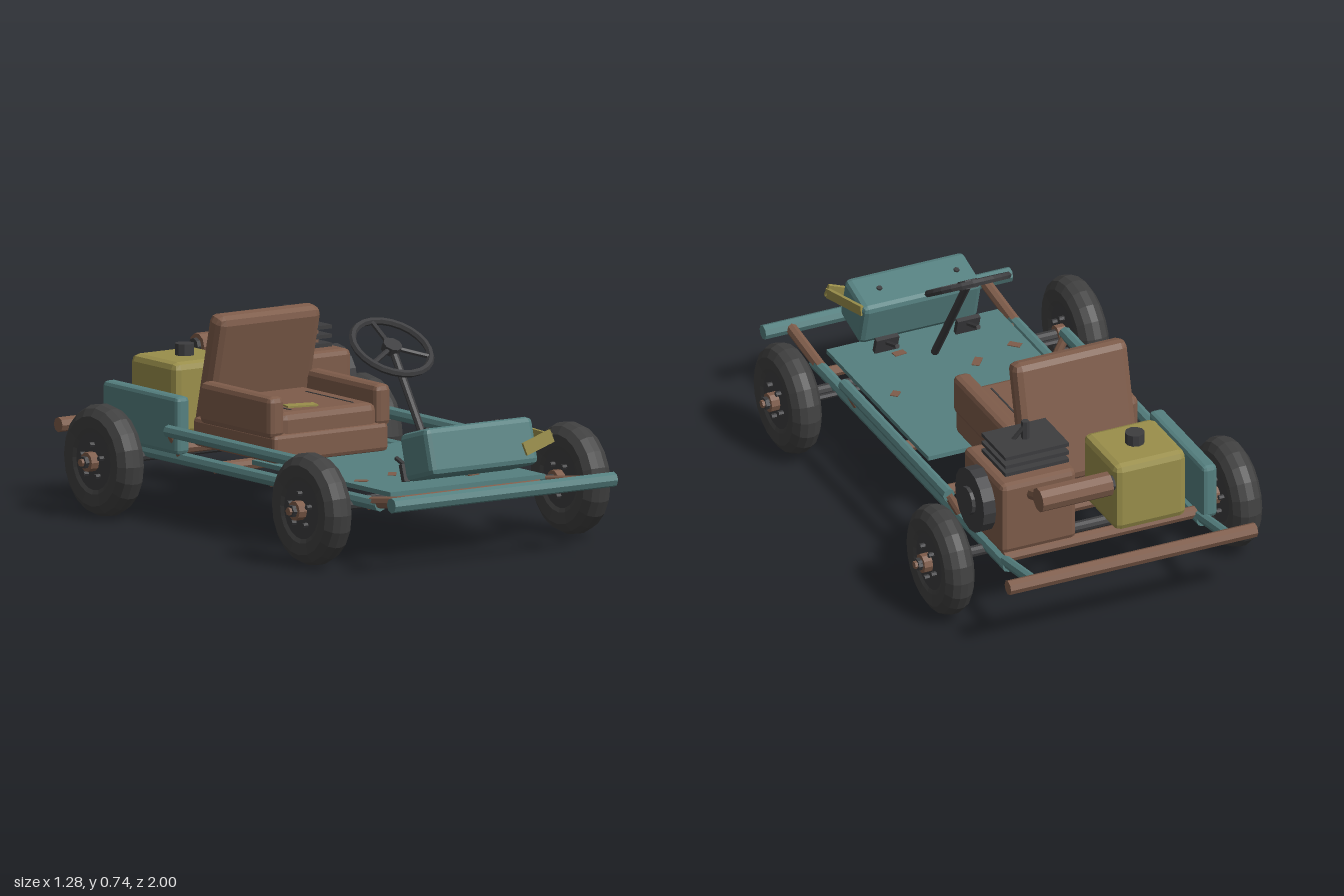
import * as THREE from 'three';
import { RoundedBoxGeometry } from 'three/addons/geometries/RoundedBoxGeometry.js';

const material = (name, color) => {
  const m = new THREE.MeshStandardMaterial({ color, flatShading: true });
  m.name = name;
  return m;
};

export function createModel() {
  const teal = material('teal paint', 0x558080);
  const rust = material('rust brown', 0x7e5c4a);
  const yellow = material('faded yellow', 0x9a8f4b);
  const dark = material('dark metal', 0x3d3d3f);
  const rubber = material('rubber', 0x404040);
  const kart = new THREE.Group();
  kart.name = 'goKart';

  const add = (name, geometry, mat, pos = [0, 0, 0], rot = [0, 0, 0], parent = kart) => {
    const mesh = new THREE.Mesh(geometry, mat);
    mesh.name = name;
    mesh.position.set(...pos);
    mesh.rotation.set(...rot);
    parent.add(mesh);
    return mesh;
  };
  const box = (name, size, mat, pos, rot, parent) => add(name, new THREE.BoxGeometry(...size), mat, pos, rot, parent);
  // box with chamfered edges
  const chamfered = (name, size, bevel, mat, pos, rot, parent) =>
    add(name, new RoundedBoxGeometry(...size, 1, bevel), mat, pos, rot, parent);
  // straight round bar between two points
  const bar = (name, a, b, radius, mat, sides = 8, parent = kart) => {
    const from = new THREE.Vector3(...a), to = new THREE.Vector3(...b);
    const dir = to.clone().sub(from);
    const mesh = add(name, new THREE.CylinderGeometry(radius, radius, dir.length(), sides), mat, [0, 0, 0], [0, 0, 0], parent);
    mesh.position.copy(from).add(to).multiplyScalar(0.5);
    mesh.quaternion.setFromUnitVectors(new THREE.Vector3(0, 1, 0), dir.normalize());
    return mesh;
  };

  // Frame rails, raised side bars and their posts
  for (const s of [-1, 1]) {
    const x = s * 0.365;
    bar('mainRail', [x, 0.212, -0.77], [x, 0.212, 0.77], 0.023, teal);
    bar('frontStub', [x, 0.214, 0.72], [x, 0.247, 0.97], 0.021, rust);
    bar('rearStub', [x, 0.218, -0.74], [x, 0.257, -0.97], 0.02, teal);
    bar('sideBar', [s * 0.415, 0.31, -0.4], [s * 0.415, 0.31, 0.435], 0.022, teal);
    for (const z of [-0.39, 0.42]) bar('sideBarPost', [x, 0.215, z], [s * 0.415, 0.31, z], 0.016, rust);
  }
  for (const z of [0.7, 0.13, -0.2]) bar('crossMember', [-0.365, 0.205, z], [0.365, 0.205, z], 0.02, rust);
  for (const z of [-0.51, -0.725]) bar('engineCrossMember', [-0.365, 0.225, z], [0.365, 0.225, z], 0.022, rust);
  bar('frontBumper', [-0.465, 0.247, 0.974], [0.465, 0.247, 0.974], 0.026, teal);
  bar('rearBumper', [-0.465, 0.257, -0.974], [0.465, 0.257, -0.974], 0.026, rust);

  // Floor pan with rust spots
  box('floorPan', [0.645, 0.016, 0.81], teal, [0, 0.243, 0.365]);
  const spots = [[-0.285, 0.245, 0.3], [-0.27, 0.525, -0.8], [-0.105, 0.475, 0.9], [0.24, 0.395, 0.8], [0.11, 0.64, 0.1]];
  spots.forEach(([x, z, turn], i) =>
    box('rustSpot', [0.035 + 0.01 * (i % 3), 0.004, 0.028], rust, [x, 0.252, z], [0, turn, 0]));

  // Axles and tie rod
  for (const z of [0.615, -0.6]) bar('axle', [-0.62, 0.195, z], [0.62, 0.195, z], 0.02, dark, 10);
  bar('tieRod', [-0.47, 0.2, 0.563], [0.47, 0.2, 0.563], 0.01, dark, 6);

  // Wheels: lathed tyre, recessed disc, hub, bolts and axle nut along +x
  const tyreProfile = [
    [0.09, -0.04], [0.115, -0.05], [0.155, -0.055], [0.182, -0.037], [0.193, -0.013],
    [0.193, 0.013], [0.182, 0.037], [0.155, 0.055], [0.115, 0.05], [0.09, 0.04],
  ].map(([r, y]) => new THREE.Vector2(r, y));
  for (const s of [-1, 1]) for (const z of [0.615, -0.6]) {
    const wheel = new THREE.Group();
    wheel.name = 'wheel';
    wheel.position.set(s * 0.541, 0.195, z);
    wheel.rotation.z = -s * Math.PI / 2;
    kart.add(wheel);
    add('tyre', new THREE.LatheGeometry(tyreProfile, 20), rubber, [0, 0, 0], [0, 0, 0], wheel);
    add('wheelDisc', new THREE.CylinderGeometry(0.1, 0.1, 0.088, 20), dark, [0, 0, 0], [0, 0, 0], wheel);
    add('hub', new THREE.CylinderGeometry(0.034, 0.034, 0.15, 10), rust, [0, 0, 0], [0, 0, 0], wheel);
    add('axleNut', new THREE.CylinderGeometry(0.022, 0.022, 0.03, 6), dark, [0, 0.075, 0], [0, 0, 0], wheel);
    add('axleTip', new THREE.CylinderGeometry(0.014, 0.014, 0.02, 6), rust, [0, 0.09, 0], [0, 0, 0], wheel);
    for (let i = 0; i < 5; i++) {
      const a = i * Math.PI * 2 / 5;
      add('wheelBolt', new THREE.CylinderGeometry(0.009, 0.009, 0.125, 6), dark,
        [0.058 * Math.cos(a), 0, 0.058 * Math.sin(a)], [0, 0, 0], wheel);
    }
  }

  // Seat: base, cushion with seams, bolsters, forward-leaning back
  const seatX = -0.075;
  chamfered('seatBase', [0.48, 0.1, 0.48], 0.015, rust, [seatX, 0.3, -0.16]);
  chamfered('seatCushion', [0.4, 0.1, 0.44], 0.025, rust, [seatX, 0.37, -0.15]);
  for (const s of [-1, 1]) {
    chamfered('seatBolster', [0.065, 0.145, 0.42], 0.02, rust, [seatX + s * 0.222, 0.408, -0.135]);
    box('seatSeam', [0.006, 0.004, 0.28], dark, [seatX + s * 0.13, 0.42, -0.115]);
  }
  chamfered('seatBack', [0.43, 0.45, 0.08], 0.028, rust, [seatX, 0.49, -0.357], [0.24, 0, 0]);
  box('seatPatch', [0.11, 0.006, 0.05], yellow, [-0.13, 0.423, -0.025], [0, -0.25, 0]);

  // Front fairing with bolts and tape around one corner
  const fairing = new THREE.Group();
  fairing.name = 'frontFairing';
  fairing.position.set(0, 0.37, 0.778);
  fairing.rotation.x = -0.27;
  kart.add(fairing);
  chamfered('fairingBox', [0.448, 0.165, 0.17], 0.02, teal, [0, 0, 0], [0, 0, 0], fairing);
  for (const x of [-0.16, 0.13])
    add('fairingBolt', new THREE.CylinderGeometry(0.01, 0.01, 0.01, 6), dark, [x, 0.084, 0], [0, 0, 0], fairing);
  box('frontTape', [0.115, 0.045, 0.012], yellow, [0.21, 0.387, 0.888], [-0.1, -0.1, 0.33]);
  box('sideTape', [0.012, 0.035, 0.2], yellow, [0.242, 0.405, 0.795], [0.1, 0.2, 0]);

  // Steering column, wheel and spokes
  bar('steeringColumn', [0, 0.255, 0.59], [0, 0.66, 0.325], 0.014, dark);
  const steering = new THREE.Group();
  steering.name = 'steeringWheel';
  steering.position.set(0, 0.658, 0.325);
  steering.rotation.x = -1.016;
  kart.add(steering);
  add('rim', new THREE.TorusGeometry(0.14, 0.013, 6, 24), dark, [0, 0, 0], [0, 0, 0], steering);
  add('steeringHub', new THREE.CylinderGeometry(0.034, 0.034, 0.03, 10), dark, [0, 0, 0], [Math.PI / 2, 0, 0], steering);
  for (let i = 0; i < 3; i++) {
    const a = Math.PI / 2 + i * Math.PI * 2 / 3;
    bar('spoke', [0, 0, 0], [0.14 * Math.cos(a), 0.14 * Math.sin(a), 0], 0.009, dark, 6, steering);
  }

  // Pedals
  for (const x of [-0.155, 0.15]) {
    bar('pedalArm', [x, 0.325, 0.57], [x, 0.29, 0.67], 0.009, dark, 6);
    box('pedalPad', [0.085, 0.06, 0.018], dark, [x, 0.29, 0.66], [-0.3, 0, 0]);
  }

  // Engine: block, cooling plates, flywheel, plug lead and exhaust
  chamfered('engineBlock', [0.285, 0.27, 0.31], 0.02, rust, [0.237, 0.377, -0.59]);
  box('engineHead', [0.17, 0.075, 0.13], rust, [0.22, 0.54, -0.595]);
  for (const y of [0.52, 0.55, 0.582]) box('coolingPlate', [0.24, 0.013, 0.19], dark, [0.22, y, -0.595]);
  add('sparkPlug', new THREE.CylinderGeometry(0.014, 0.014, 0.07, 6), dark, [0.22, 0.62, -0.595]);
  bar('plugLead', [0.222, 0.643, -0.6], [0.3, 0.52, -0.56], 0.008, dark, 6);
  bar('flywheel', [0.37, 0.39, -0.585], [0.425, 0.39, -0.585], 0.115, dark, 16);
  bar('flywheelCap', [0.42, 0.39, -0.585], [0.438, 0.39, -0.585], 0.05, dark, 12);
  bar('muffler', [0.03, 0.498, -0.856], [0.295, 0.498, -0.856], 0.043, rust, 10);
  bar('mufflerTip', [0.015, 0.498, -0.856], [0.035, 0.498, -0.856], 0.027, dark, 8);
  bar('exhaustPipe', [0.265, 0.45, -0.72], [0.265, 0.495, -0.85], 0.021, rust);

  // Fuel tank and rear side panel
  chamfered('fuelTank', [0.27, 0.255, 0.27], 0.025, yellow, [-0.161, 0.385, -0.66]);
  add('fuelCap', new THREE.CylinderGeometry(0.034, 0.034, 0.045, 10), dark, [-0.161, 0.53, -0.66]);
  chamfered('sidePanel', [0.055, 0.2, 0.44], 0.015, teal, [-0.383, 0.33, -0.575]);

  return kart;
}
